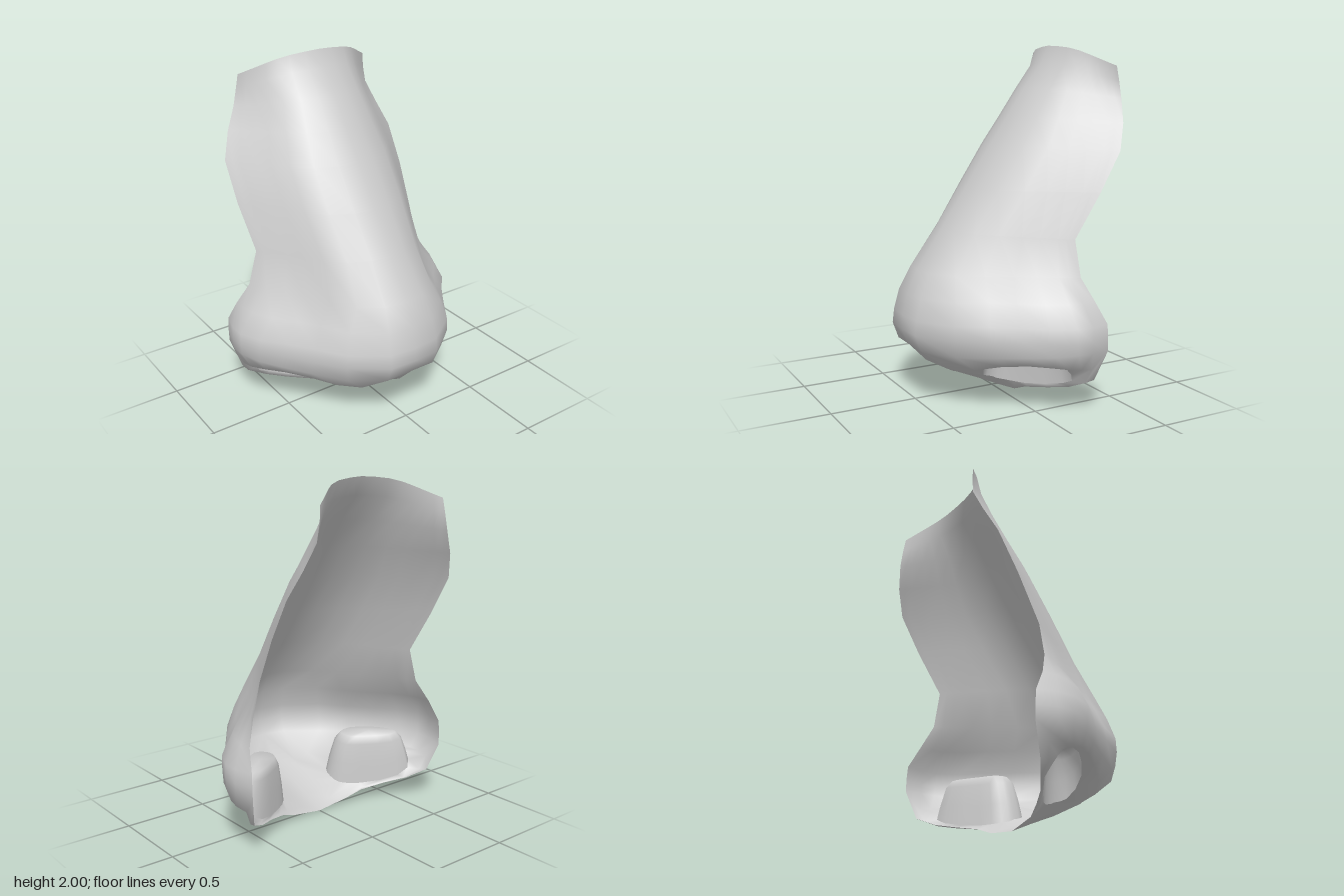
import * as THREE from 'three';
import { mergeVertices } from 'three/addons/utils/BufferGeometryUtils.js';

const material = new THREE.MeshStandardMaterial({ color: 0xcccccc, side: THREE.DoubleSide });
const mirror = ([x, y, z]) => [-x, y, z];

// Adds the quads between two neighbouring lines of points
function strip(out, upper, lower, closed = false) {
  const n = upper.length;
  for (let i = 0; i < (closed ? n : n - 1); i++) {
    const k = (i + 1) % n;
    const [a, b, c, d] = [upper[i], lower[i], lower[k], upper[k]];
    out.push(...a, ...b, ...c, ...a, ...c, ...d);
  }
}

// The same strip on the mirrored side, with its winding kept outward
function mirroredStrip(out, upper, lower) {
  strip(out, upper.map(mirror).reverse(), lower.map(mirror).reverse(), true);
}

function smoothMesh(name, positions) {
  let geometry = new THREE.BufferGeometry();
  geometry.setAttribute('position', new THREE.Float32BufferAttribute(positions, 3));
  geometry = mergeVertices(geometry, 1e-4);
  geometry.computeVertexNormals();
  const mesh = new THREE.Mesh(geometry, material);
  mesh.name = name;
  return mesh;
}

// Bridge sections: ridge [y, z] and outer edge [x, y, z], joined by an arch
// whose sides grow hollow towards the wings
const acrossX = [0, 0.2, 0.42, 0.58, 0.7, 0.8, 0.9, 0.95, 1];
const archTop = [0, 0.04, 0.13, 0.28, 0.47, 0.65, 0.83, 0.915, 1];
const archLow = [0, 0.04, 0.16, 0.37, 0.56, 0.71, 0.86, 0.93, 1];
const bridge = [
  [[2.0, -0.375], [0.43, 1.88, -0.555]],
  [[1.9, -0.33], [0.44, 1.8, -0.565]],
  [[1.76, -0.215], [0.46, 1.7, -0.568]],
  [[1.6, -0.105], [0.52, 1.57, -0.54]],
  [[1.43, 0.015], [0.58, 1.42, -0.48]],
  [[1.2, 0.17], [0.58, 1.2, -0.355]],
  [[0.97, 0.325], [0.555, 0.95, -0.21]],
].map(([[y, z], e], j) => acrossX.map((u, i) => {
  const drop = THREE.MathUtils.lerp(archTop[i], archLow[i], Math.min(1, j / 4));
  return [u * e[0], y + (e[1] - y) * drop, z + (e[2] - z) * drop];
}));

// Tip and wing sections at a constant height: [x, z] from the middle outward
const level = (y, points) => points.map(([x, z]) => [x, y, z]);
const tip = [
  level(0.75, [[0, 0.48], [0.13, 0.46], [0.26, 0.37], [0.34, 0.225], [0.42, 0.09], [0.49, -0.01], [0.555, -0.11], [0.583, -0.16], [0.607, -0.215]]),
  level(0.62, [[0, 0.54], [0.15, 0.525], [0.32, 0.395], [0.41, 0.24], [0.495, 0.115], [0.595, 0], [0.655, -0.115], [0.67, -0.19], [0.67, -0.27]]),
  level(0.5, [[0, 0.568], [0.16, 0.555], [0.355, 0.42], [0.46, 0.265], [0.565, 0.12], [0.67, 0], [0.728, -0.125], [0.73, -0.22], [0.7, -0.33]]),
  level(0.42, [[0, 0.573], [0.16, 0.565], [0.36, 0.42], [0.48, 0.26], [0.585, 0.11], [0.675, -0.01], [0.73, -0.125], [0.732, -0.22], [0.702, -0.335]]),
];
const rim = [
  [0, 0.335, 0.54], [0.16, 0.325, 0.53], [0.34, 0.32, 0.4], [0.48, 0.33, 0.23], [0.59, 0.34, 0.09],
  [0.675, 0.35, -0.02], [0.725, 0.36, -0.13], [0.73, 0.36, -0.22], [0.7, 0.345, -0.335]];

// Border of the underside: rim, back edge, then forward along the middle
const border = [...rim,
  [0.655, 0.18, -0.28], [0.55, 0.13, -0.21], [0.43, 0.1, -0.13], [0.3, 0.07, -0.07],
  [0.2, 0.03, -0.04], [0, 0, -0.03], [0, 0.06, 0.1], [0, 0.12, 0.24], [0, 0.22, 0.43]];

// Nostril opening, point for point with the border
const opening = [
  [0.22, 0.155, 0.175], [0.27, 0.2, 0.2], [0.34, 0.255, 0.19], [0.42, 0.295, 0.135],
  [0.5, 0.312, 0.06], [0.56, 0.305, -0.02], [0.6, 0.285, -0.08], [0.615, 0.26, -0.12], [0.62, 0.22, -0.155],
  [0.595, 0.175, -0.175], [0.52, 0.14, -0.165], [0.42, 0.115, -0.11], [0.32, 0.1, -0.04],
  [0.26, 0.1, 0], [0.22, 0.105, 0.04], [0.205, 0.115, 0.08], [0.2, 0.13, 0.11], [0.205, 0.14, 0.145]];

// How far the underside swells downward halfway to the opening
const swell = [0.055, 0.055, 0.05, 0.04, 0.04, 0.045, 0.05, 0.045, 0.03, 0.01, 0.01, 0.01, 0.01, 0.01, 0.01, 0.01, 0.01, 0.02];

export function createModel() {
  const group = new THREE.Group();
  group.name = 'nose';

  // Outer skin: bridge, tip and wings
  const skin = [];
  const rows = [...bridge, ...tip, rim].map(r => [...r.slice(1).reverse().map(mirror), ...r]);
  for (let j = 0; j < rows.length - 1; j++) strip(skin, rows[j], rows[j + 1]);

  // Underside around the nostrils
  const middle = border.map((p, i) => {
    const q = opening[i];
    return [(p[0] + q[0]) / 2 + 0.03 * p[0], (p[1] + q[1]) / 2 - swell[i], (p[2] + q[2]) / 2];
  });
  for (const [a, b] of [[border, middle], [middle, opening]]) {
    strip(skin, a, b, true);
    mirroredStrip(skin, a, b);
  }
  group.add(smoothMesh('skin', skin));

  // Nostril linings: pockets that narrow upward to a rounded, closed top
  const ring = (scale, y, keep) => opening.map(p =>
    [0.42 + (p[0] - 0.42) * scale, y + (p[1] - 0.2) * keep, p[2] * scale]);
  const rings = [opening, ring(0.92, 0.28, 0.6), ring(0.8, 0.37, 0.25), ring(0.66, 0.405, 0.1), ring(0, 0.415, 0)];
  const left = [], right = [];
  for (let j = 0; j < rings.length - 1; j++) {
    strip(left, rings[j], rings[j + 1], true);
    mirroredStrip(right, rings[j], rings[j + 1]);
  }
  group.add(smoothMesh('leftNostril', left), smoothMesh('rightNostril', right));
  return group;
}
